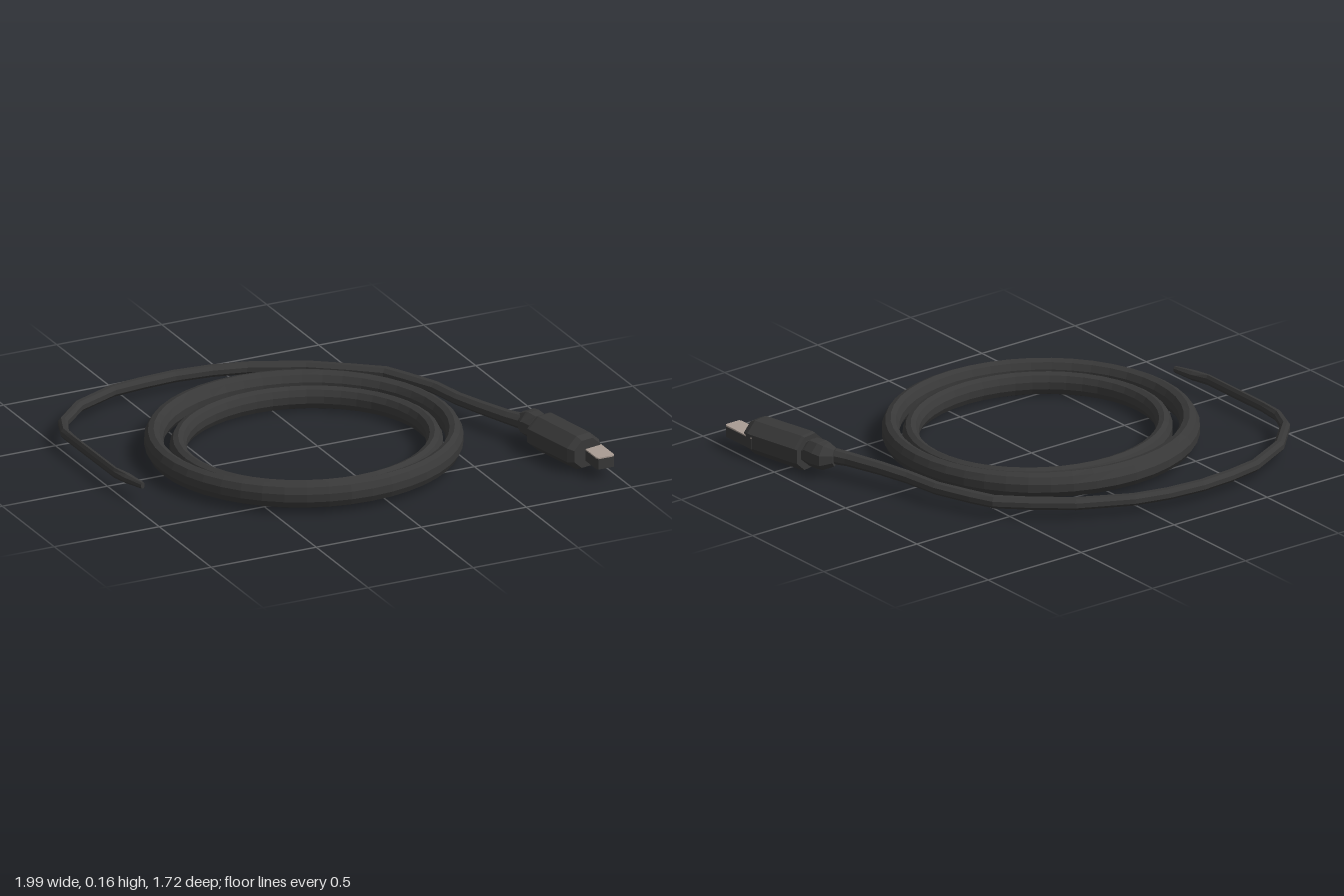
import * as THREE from 'three';

const rubber = new THREE.MeshStandardMaterial({ color: 0x383838 });
rubber.name = 'darkRubber';
const metal = new THREE.MeshStandardMaterial({ color: 0xa89b93 });
metal.name = 'paleMetal';

// Sweeps an upright oval through stations [x, y, z, width, height], with flat facets.
function sweep(name, stations, sides, closed = false) {
  const n = stations.length, pos = [], index = [];
  stations.forEach(([x, y, z, w, h], k) => {
    const a = stations[closed ? (k + n - 1) % n : Math.max(k - 1, 0)];
    const b = stations[closed ? (k + 1) % n : Math.min(k + 1, n - 1)];
    const t = new THREE.Vector2(b[0] - a[0], b[2] - a[2]).normalize();
    for (let i = 0; i < sides; i++) {
      const ang = ((i + 0.5) / sides) * Math.PI * 2;
      const grow = 1 / Math.cos(Math.PI / sides); // flats reach the full width
      const c = (Math.cos(ang) * w * grow) / 2, s = (Math.sin(ang) * h * grow) / 2;
      pos.push(x + t.y * c, y + s, z - t.x * c);
    }
  });
  for (let k = 0; k < (closed ? n : n - 1); k++) {
    for (let i = 0; i < sides; i++) {
      const j = (i + 1) % sides, m = ((k + 1) % n) * sides;
      const a = k * sides + i, b = k * sides + j;
      index.push(a, b, m + i, b, m + j, m + i);
    }
  }
  if (!closed) {
    const e = (n - 1) * sides;
    for (let i = 1; i < sides - 1; i++) index.push(0, i + 1, i, e, e + i, e + i + 1);
  }
  const indexed = new THREE.BufferGeometry();
  indexed.setAttribute('position', new THREE.Float32BufferAttribute(pos, 3));
  indexed.setIndex(index);
  const geo = indexed.toNonIndexed();
  geo.computeVertexNormals();
  const mesh = new THREE.Mesh(geo, rubber);
  mesh.name = name;
  return mesh;
}

// One closed turn of the coil; its width grows towards the back.
function coil(name, cx, cz, rx, rz, y, width, backExtra, height) {
  const stations = [];
  for (let k = 0; k < 44; k++) {
    const a = (k / 44) * Math.PI * 2, back = Math.max(0, -Math.sin(a));
    stations.push([cx + rx * Math.cos(a), y, cz + rz * Math.sin(a), width + backExtra * back * back, height]);
  }
  return sweep(name, stations, 10, true);
}

export function createModel() {
  const model = new THREE.Group();
  model.name = 'coiledCable';

  // Two nested turns
  model.add(coil('outerCoil', -0.0925, 0.06, 0.6475, 0.625, 0.075, 0.074, 0.034, 0.108));
  model.add(coil('innerCoil', -0.09, 0.076, 0.556, 0.516, 0.055, 0.07, 0.005, 0.1));

  // Loose length, from the flattened free end round the back to the plug
  model.add(sweep('looseCable', [
    [-0.94, 0.075, 0.22, 0.02, 0.028],
    [-0.962, 0.075, 0.12, 0.042, 0.042],
    [-0.982, 0.075, 0.04, 0.026, 0.046],
    [-0.985, 0.075, -0.34, 0.026, 0.046],
    [-0.98, 0.073, -0.45, 0.036, 0.048],
    [-0.935, 0.07, -0.56, 0.042, 0.05],
    [-0.79, 0.066, -0.705, 0.045, 0.05],
    [-0.58, 0.062, -0.805, 0.048, 0.05],
    [-0.43, 0.06, -0.828, 0.05, 0.05],
    [-0.27, 0.06, -0.838, 0.052, 0.05],
    [-0.1, 0.06, -0.822, 0.052, 0.05],
    [0.05, 0.06, -0.785, 0.052, 0.05],
    [0.28, 0.062, -0.675, 0.055, 0.052],
    [0.43, 0.064, -0.56, 0.055, 0.052],
    [0.55, 0.067, -0.455, 0.06, 0.052],
    [0.595, 0.069, -0.36, 0.06, 0.052],
    [0.662, 0.073, -0.2, 0.055, 0.052],
    [0.69, 0.077, -0.04, 0.055, 0.052],
    [0.73, 0.082, 0.1, 0.058, 0.054],
    [0.785, 0.086, 0.26, 0.062, 0.058],
    [0.835, 0.088, 0.37, 0.07, 0.07],
  ], 8));

  // Flared strain relief
  model.add(sweep('strainRelief', [
    [0.818, 0.086, 0.31, 0.068, 0.075],
    [0.84, 0.086, 0.345, 0.135, 0.11],
    [0.846, 0.086, 0.37, 0.128, 0.118],
    [0.852, 0.084, 0.42, 0.112, 0.118],
    [0.856, 0.082, 0.435, 0.112, 0.1],
    [0.862, 0.082, 0.47, 0.112, 0.1],
  ], 8));

  // Plug housing with a blunt chamfered nose
  model.add(sweep('plugHousing', [
    [0.855, 0.079, 0.44, 0.168, 0.15],
    [0.858, 0.079, 0.455, 0.172, 0.157],
    [0.91, 0.079, 0.715, 0.172, 0.153],
    [0.916, 0.079, 0.745, 0.14, 0.125],
  ], 8));

  // Plug tip, chamfered plan with a pale plate on top
  const plan = new THREE.Shape([
    [-0.042, -0.16], [0.042, -0.16], [0.042, 0.015], [0.036, 0.025], [-0.036, 0.025], [-0.042, 0.015],
  ].map(([x, z]) => new THREE.Vector2(x, -z)));
  const plate = (name, depth, y, material) => {
    const geo = new THREE.ExtrudeGeometry(plan, { depth, bevelEnabled: false });
    geo.rotateX(-Math.PI / 2);
    const mesh = new THREE.Mesh(geo, material);
    mesh.name = name;
    mesh.position.set(0.949, y, 0.835);
    model.add(mesh);
  };
  plate('plugTip', 0.048, 0.045, rubber);
  plate('plugTopPlate', 0.006, 0.093, metal);

  return model;
}
